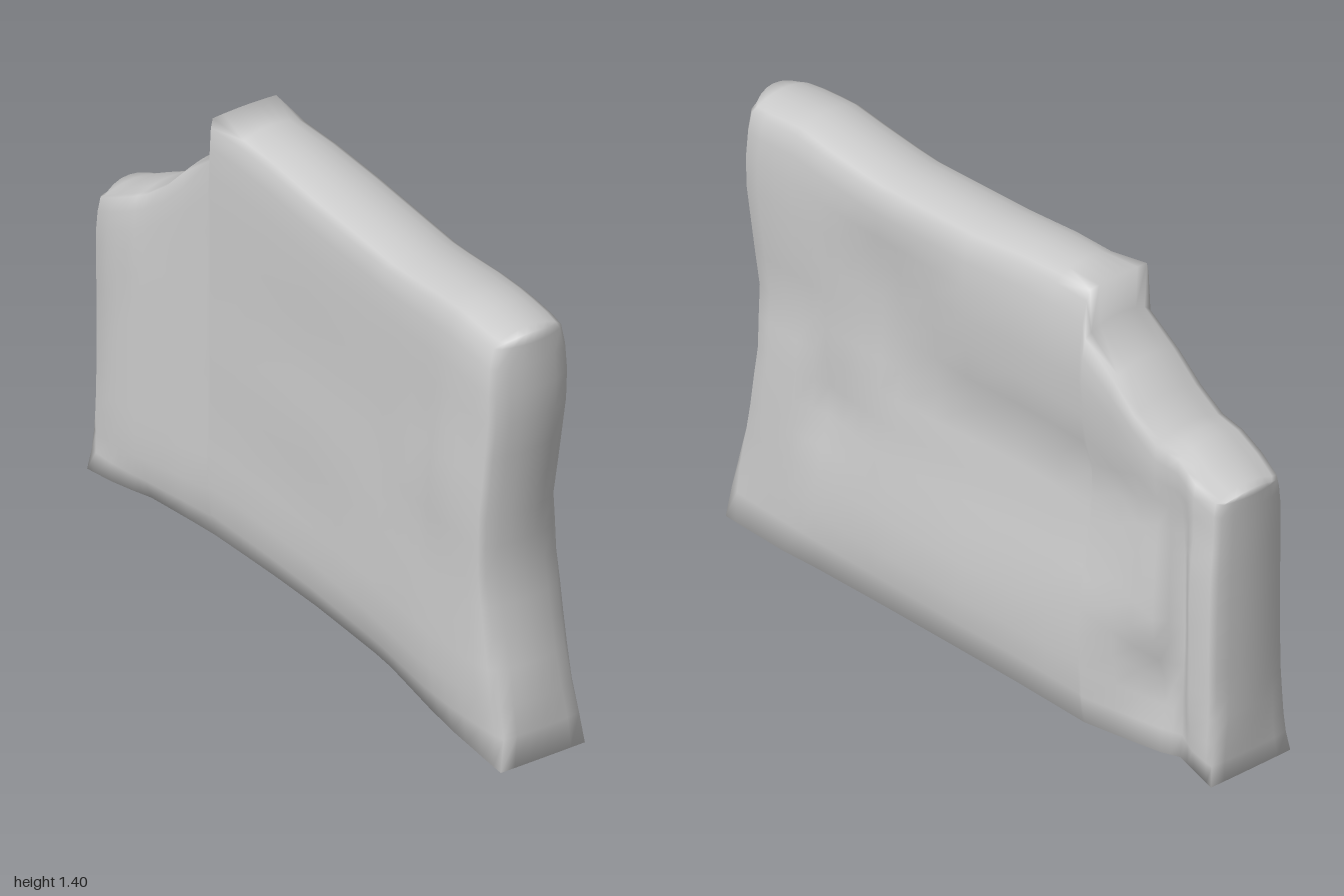
import * as THREE from 'three';
import { mergeVertices } from 'three/addons/utils/BufferGeometryUtils.js';

// Piecewise linear lookup of [key, value] pairs with rising keys
function lookup(pairs, t) {
  if (t <= pairs[0][0]) return pairs[0][1];
  for (let i = 1; i < pairs.length; i++) {
    const [a, va] = pairs[i - 1], [b, vb] = pairs[i];
    if (t <= b) return va + (vb - va) * (t - a) / (b - a);
  }
  return pairs[pairs.length - 1][1];
}

// Broken top edge: height over z
const TOP = [[-1, 0.92], [-0.97, 0.925], [-0.72, 1.06], [-0.6, 1.19], [-0.49, 1.28], [-0.48, 1.395],
  [-0.25, 1.4], [0, 1.38], [0.4, 1.365], [0.76, 1.395], [0.96, 1.38]];
// Hollow front edge: z over height
const FRONT = [[0, 1], [0.2, 0.99], [0.4, 0.95], [0.6, 0.925], [0.8, 0.935], [1, 0.955], [1.15, 0.97], [1.38, 0.955]];

// Side reliefs: rows are heights, columns are z positions
const ROWS = [0, 0.1, 0.2, 0.4, 0.55, 0.68, 0.8, 0.9, 1.1, 1.25, 1.4];
const COLS = [-1, -0.9, -0.82, -0.76, -0.5, 0, 0.35, 0.62, 0.75, 1];
const LEFT_SIDE = [
  [0.14, 0.11, 0.09, 0.11, 0.145, 0.14, 0.135, 0.135, 0.14, 0.13],
  [0.14, 0.12, 0.08, 0.10, 0.16, 0.16, 0.15, 0.145, 0.14, 0.13],
  [0.13, 0.13, 0.08, 0.08, 0.165, 0.175, 0.165, 0.15, 0.14, 0.125],
  [0.13, 0.13, 0.07, 0.14, 0.16, 0.16, 0.15, 0.13, 0.135, 0.125],
  [0.125, 0.13, 0.07, 0.135, 0.135, 0.135, 0.13, 0.095, 0.13, 0.12],
  [0.12, 0.125, 0.07, 0.125, 0.12, 0.125, 0.125, 0.115, 0.125, 0.11],
  [0.11, 0.11, 0.08, 0.115, 0.11, 0.105, 0.11, 0.115, 0.11, 0.10],
  [0.11, 0.115, 0.10, 0.13, 0.14, 0.135, 0.105, 0.12, 0.12, 0.11],
  [0.12, 0.12, 0.115, 0.14, 0.16, 0.155, 0.11, 0.13, 0.13, 0.125],
  [0.12, 0.12, 0.115, 0.14, 0.155, 0.155, 0.14, 0.135, 0.13, 0.13],
  [0.12, 0.12, 0.11, 0.13, 0.125, 0.145, 0.135, 0.13, 0.12, 0.12],
];
const RIGHT_SIDE = [
  [-0.165, -0.15, -0.13, -0.11, -0.08, -0.08, -0.09, -0.13, -0.145, -0.16],
  [-0.155, -0.155, -0.15, -0.14, -0.105, -0.11, -0.125, -0.155, -0.16, -0.15],
  [-0.165, -0.16, -0.155, -0.145, -0.115, -0.12, -0.145, -0.175, -0.175, -0.165],
  [-0.16, -0.16, -0.155, -0.145, -0.11, -0.115, -0.14, -0.17, -0.175, -0.165],
  [-0.16, -0.16, -0.155, -0.145, -0.11, -0.12, -0.135, -0.16, -0.17, -0.17],
  [-0.16, -0.165, -0.155, -0.145, -0.11, -0.12, -0.13, -0.155, -0.17, -0.175],
  [-0.16, -0.165, -0.16, -0.145, -0.11, -0.115, -0.125, -0.155, -0.175, -0.175],
  [-0.155, -0.16, -0.16, -0.14, -0.11, -0.115, -0.125, -0.145, -0.17, -0.17],
  [-0.15, -0.16, -0.155, -0.14, -0.11, -0.12, -0.125, -0.14, -0.155, -0.165],
  [-0.15, -0.155, -0.15, -0.135, -0.11, -0.12, -0.125, -0.14, -0.15, -0.165],
  [-0.14, -0.15, -0.15, -0.13, -0.11, -0.12, -0.125, -0.13, -0.135, -0.14],
];
const relief = (table, y, z) =>
  lookup(ROWS.map((h, i) => [h, lookup(COLS.map((c, j) => [c, table[i][j]]), z)]), y);

// Grid lines along the slab and up it (as a share of the local height)
const Z_LINES = [-1, -0.97, -0.9, -0.86, -0.82, -0.79, -0.76, -0.68, -0.6, -0.49, -0.48, -0.35, -0.2, 0,
  0.15, 0.3, 0.38, 0.46, 0.54, 0.62, 0.68, 0.75, 0.82, 0.9, 0.96, 1];
const V_LINES = [0, 0.07, 0.14, 0.22, 0.29, 0.36, 0.43, 0.5, 0.57, 0.65, 0.72, 0.8, 0.87, 0.93, 0.975, 1];

function slabGeometry() {
  const nz = Z_LINES.length - 1, nv = V_LINES.length - 1;
  const geo = new THREE.BoxGeometry(2, 2, 2, 6, nv, nz);
  const pos = geo.attributes.position;
  for (let i = 0; i < pos.count; i++) {
    const u = pos.getX(i);
    const v = V_LINES[Math.round((pos.getY(i) + 1) / 2 * nv)];
    const w = Z_LINES[Math.round((pos.getZ(i) + 1) / 2 * nz)];

    // Height and length follow the outline
    const base = 0.01 * Math.min(1, Math.abs(w + 0.48) * 3);
    let y = base + v * (lookup(TOP, w) - base);
    const reach = lookup(FRONT, y);
    let z = w > 0.5 ? 0.5 + (w - 0.5) * (reach - 0.5) / 0.5 : w;

    // Worn upper and end edges narrow the thickness; the lip of the break stays wide
    const wear = w === -0.48 ? 0.4 : 1;
    const upper = 1 - wear * lookup([[0.87, 0], [0.93, 0.02], [0.975, 0.08], [1, 0.22]], v);
    const lift = Math.min(1, y / 0.25);
    const front = 1 - lift * (1 - lookup([[0.8, 1], [0.9, 0.98], [0.96, 0.92], [1, 0.8]], w));
    const back = 1 - lift * (1 - lookup([[-1, 0.82], [-0.97, 0.94], [-0.9, 1]], w));
    const a = relief(RIGHT_SIDE, y, w), b = relief(LEFT_SIDE, y, w);
    const x = (a + b) / 2 + u * (b - a) / 2 * upper * Math.min(front, back);

    // Crown the top, front and back faces slightly
    if (v === 1) y -= 0.02 * u * u * (w === -0.48 ? 0.2 : 1);
    if (w === 1) z -= 0.02 * u * u * lift;
    if (w === -1) z += 0.015 * u * u * lift;
    // Soften the lower edge of the right side
    if (v === 0 && u < 0) y += 0.02 * u * u * Math.max(0, 1 - w * w);
    pos.setXYZ(i, x, y, z);
  }
  // Shared corners give smooth shading all round
  geo.deleteAttribute('normal');
  geo.deleteAttribute('uv');
  const smooth = mergeVertices(geo);
  smooth.computeVertexNormals();
  return smooth;
}

export function createModel() {
  const group = new THREE.Group();
  group.name = 'stoneWall';
  const slab = new THREE.Mesh(slabGeometry(), new THREE.MeshStandardMaterial({ color: 0xcccccc }));
  slab.name = 'wallSlab';
  group.add(slab);
  return group;
}
